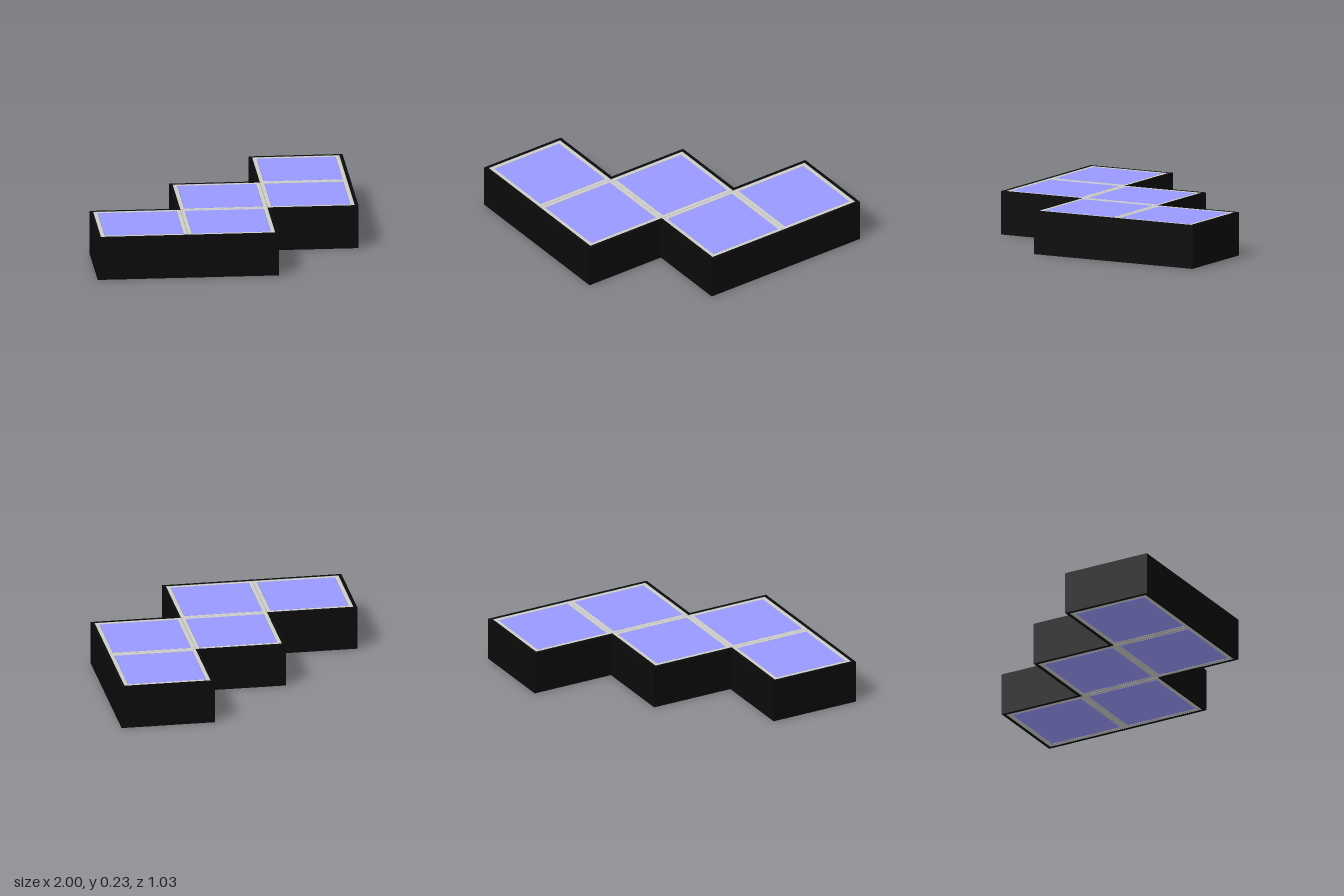
import * as THREE from 'three';

const P = 0.3247;      // half diagonal of one cell
const M = 0.026;       // rim width along the diagonal
const H = 0.23;        // height
const PANEL = 0.291;   // half diagonal of a coloured panel
const GAP = 0.003;     // fine joint lines

// Zigzag outline of the five joined cells, grown outward by m
function outline(m) {
  return [
    [-3 * P - m, -P / 2], [-2 * P, -1.5 * P - m], [-P, -P / 2 - m],
    [0, -1.5 * P - m], [P, -P / 2 - m], [2 * P, -1.5 * P - m],
    [3 * P + m, -P / 2], [P, 1.5 * P + m], [0, P / 2 + m], [-P, 1.5 * P + m],
  ].map(([x, z]) => new THREE.Vector2(x, -z));
}

function diamond(r) {
  return [[r, 0], [0, r], [-r, 0], [0, -r]].map(([x, y]) => new THREE.Vector2(x, y));
}

// Upright prism from a plan shape, between y0 and y1
function prism(points, holePoints, y0, y1) {
  const shape = new THREE.Shape(points);
  if (holePoints) shape.holes.push(new THREE.Path(holePoints));
  const geo = new THREE.ExtrudeGeometry(shape, { depth: y1 - y0, bevelEnabled: false });
  return geo.rotateX(-Math.PI / 2).translate(0, y0, 0);
}

export function createModel() {
  const model = new THREE.Group();
  const black = new THREE.MeshStandardMaterial({ color: 0x0a0a0a });
  const dark = new THREE.MeshStandardMaterial({ color: 0x777777 });
  const grey = new THREE.MeshStandardMaterial({ color: 0xcccccc });
  const blue = new THREE.MeshStandardMaterial({ color: 0x9999ff });

  const add = (parent, name, geo, mat) => {
    const mesh = new THREE.Mesh(geo, mat);
    mesh.name = name;
    parent.add(mesh);
  };

  // Black wall around the whole tile, and the core showing in the joints
  add(model, 'outerRim', prism(outline(M), outline(0), 0, H), black);
  add(model, 'core', prism(outline(0), null, 0.003, H - 0.003), dark);

  // Each cell: a grey border and a coloured panel on the top and the underside
  const frameGeo = prism(diamond(P - GAP / 2), diamond(PANEL + GAP), 0.001, H - 0.001);
  const panelGeo = prism(diamond(PANEL), null, 0.001, H - 0.001);
  const cells = [[-2, -1], [0, -1], [2, -1], [-1, 1], [1, 1]];
  cells.forEach(([i, j], n) => {
    const cell = new THREE.Group();
    cell.name = `cell${n + 1}`;
    cell.position.set(i * P, 0, j * P / 2);
    add(cell, 'border', frameGeo, grey);
    add(cell, 'panel', panelGeo, blue);
    model.add(cell);
  });

  return model;
}
